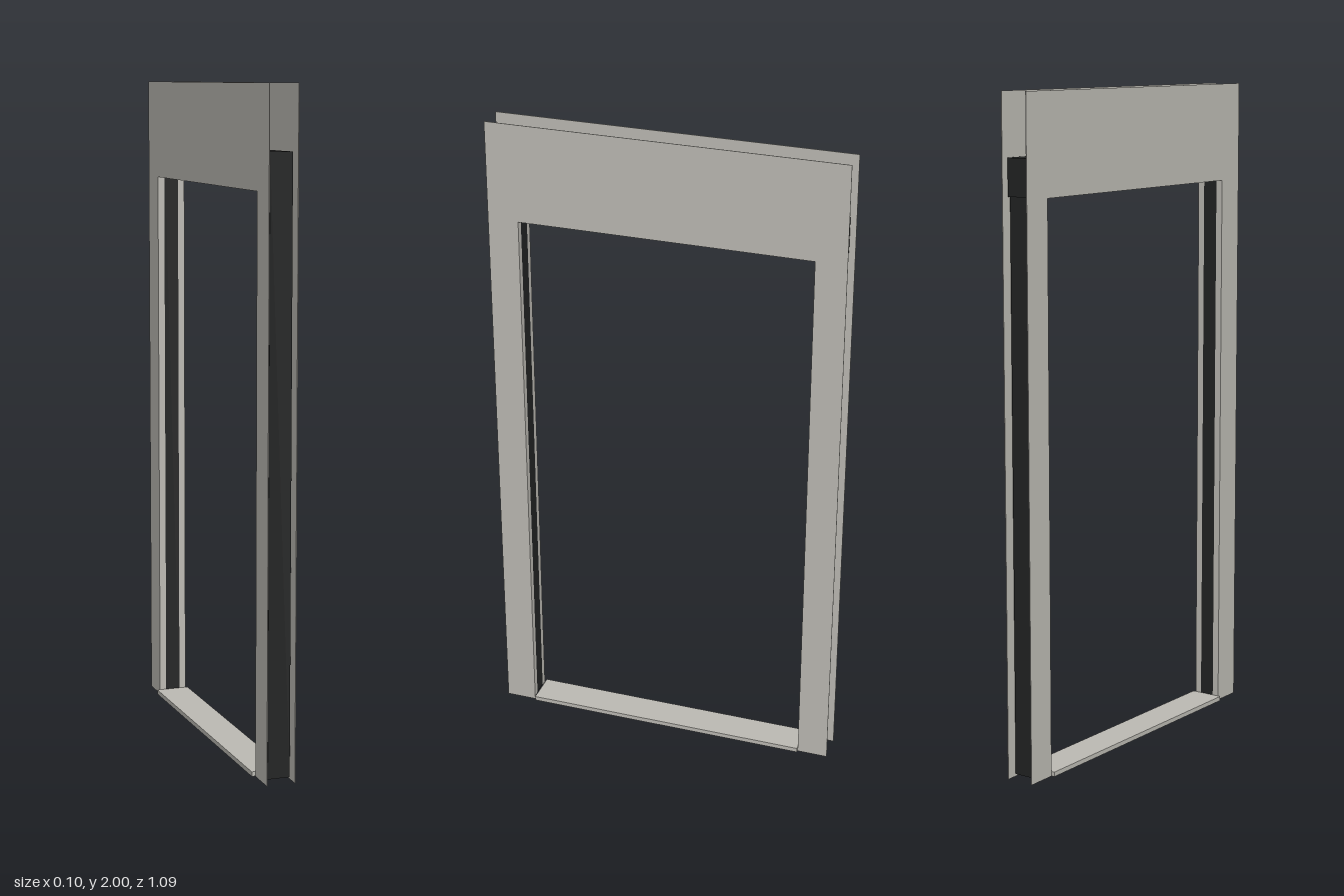
import * as THREE from 'three';

export function createModel() {
  const group = new THREE.Group();
  const stone = new THREE.MeshStandardMaterial({ color: 0xbcbab3 });
  stone.name = 'warm grey';
  const black = new THREE.MeshStandardMaterial({ color: 0x222323 });
  black.name = 'near black';

  const add = (name, geometry, material, x = 0, y = 0, z = 0) => {
    const mesh = new THREE.Mesh(geometry, material);
    mesh.name = name;
    mesh.position.set(x, y, z);
    group.add(mesh);
    return mesh;
  };
  // box given by its lower and upper limits
  const box = (name, material, x0, x1, y0, y1, z0, z1) =>
    add(name, new THREE.BoxGeometry(x1 - x0, y1 - y0, z1 - z0), material,
      (x0 + x1) / 2, (y0 + y1) / 2, (z0 + z1) / 2);

  const W = 0.545, H = 2, w = 0.45, h = 1.7, T = 0.002, X = 0.043;

  // door-shaped facing plate, drawn in the z-y plane
  const outline = new THREE.Shape([
    [-W, 0], [-w, 0], [-w, h], [w, h], [w, 0], [W, 0], [W, H], [-W, H],
  ].map(([a, b]) => new THREE.Vector2(a, b)));
  const plate = new THREE.ExtrudeGeometry(outline, { depth: T, bevelEnabled: false });
  plate.translate(0, 0, -T / 2).rotateY(Math.PI / 2);

  for (const s of [-1, 1]) {
    const side = s > 0 ? 'left' : 'right';
    add(side + 'FacingPlate', plate, stone, s * X);

    // narrow returns lining the opening behind each plate
    const a = Math.min(s * 0.023, s * X), b = Math.max(s * 0.023, s * X);
    box(side + 'HeaderReturn', stone, a, b, h, h + 0.004, -w, w);
    box(side + 'FrontReturn', stone, a, b, 0.01, h, w, w + 0.004);
    box(side + 'BackReturn', stone, a, b, 0.01, h, -w - 0.004, -w);
  }

  // jamb cores: narrow towards the opening, flared towards the outside
  const core = new THREE.Shape([
    [-0.023, 0], [0.023, 0], [0.033, 0.072], [-0.035, 0.072],
  ].map(([a, b]) => new THREE.Vector2(a, b)));
  const jamb = new THREE.ExtrudeGeometry(core, { depth: 1.8, bevelEnabled: false });
  jamb.rotateX(-Math.PI / 2);
  add('backJamb', jamb, black, 0, 0.012, -w);
  add('frontJamb', jamb, black, 0, 0.012, w).rotation.y = Math.PI;

  // header core in a wide and a narrow length
  box('wideHeaderCore', black, -0.034, 0.036, 1.706, 1.815, -0.528, 0.04);
  box('narrowHeaderCore', black, -0.023, 0.023, 1.702, 1.812, 0.04, w);

  // sill across the bottom of the opening
  box('sill', stone, -0.054, 0.051, 0, 0.014, -w + 0.001, w - 0.003);
  return group;
}
